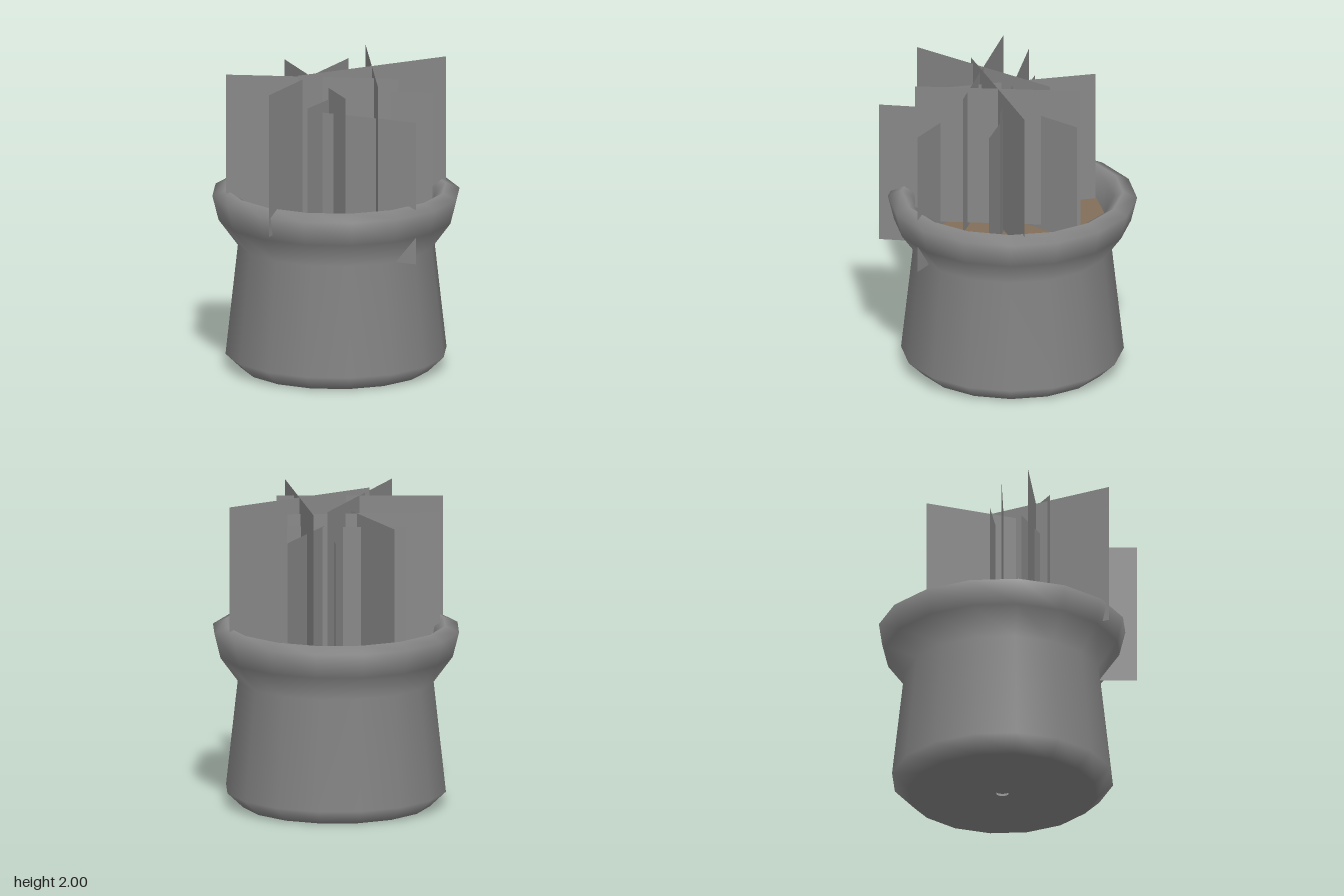
import * as THREE from 'three';

export function createModel() {
  const model = new THREE.Group();
  model.name = 'pottedPlant';

  const grey = new THREE.MeshStandardMaterial({ color: 0x888888, side: THREE.DoubleSide });
  grey.name = 'grey';
  const brown = new THREE.MeshStandardMaterial({ color: 0x826f59 });
  brown.name = 'soil brown';

  const add = (parent, name, geometry, material) => {
    const mesh = new THREE.Mesh(geometry, material);
    mesh.name = name;
    parent.add(mesh);
    return mesh;
  };

  // Pot: sixteen-sided turned body with a rolled rim and an inner wall
  const profile = [
    [0.04, 0], [0.61, 0], [0.715, 0.1], [0.635, 0.82], [0.76, 0.99], [0.8, 1.15],
    [0.71, 1.19], [0.645, 1.15], [0.6175, 1.0], [0.59, 0.8],
  ].map(([r, y]) => new THREE.Vector2(r, y));
  add(model, 'pot', new THREE.LatheGeometry(profile, 16), grey).position.z = -0.03;

  // Recessed disc behind the drain hole
  const drain = add(model, 'drainHole', new THREE.CircleGeometry(0.05, 12), grey);
  drain.rotation.x = Math.PI / 2;
  drain.position.set(0, 0.02, -0.03);

  // Soil
  const soil = add(model, 'soil', new THREE.CircleGeometry(0.595, 14, Math.PI / 2), brown);
  soil.rotation.x = -Math.PI / 2;
  soil.position.set(0, 1.03, -0.03);

  // Leaf clumps: two upright sheets crossing at 67 degrees
  const height = 0.94;
  const sheet = new THREE.PlaneGeometry(1.067, height);
  // centre x, centre z, top, heading from +x towards +z in degrees
  const clumps = [
    [0.22, 0.06, 2.0, -19.8],
    [-0.2, 0.16, 1.97, 13],
    [-0.02, 0.3, 1.75, 97.5],
    [0.09, -0.03, 1.82, 15],
    [-0.135, -0.04, 1.9, 76],
  ];
  clumps.forEach(([x, z, top, heading], i) => {
    const clump = new THREE.Group();
    clump.name = `leafClump${i + 1}`;
    clump.position.set(x, top - height / 2, z);
    for (const turn of [0, -67]) {
      const leaf = add(clump, 'leafSheet', sheet, grey);
      leaf.rotation.y = -THREE.MathUtils.degToRad(heading + turn);
    }
    model.add(clump);
  });

  return model;
}
